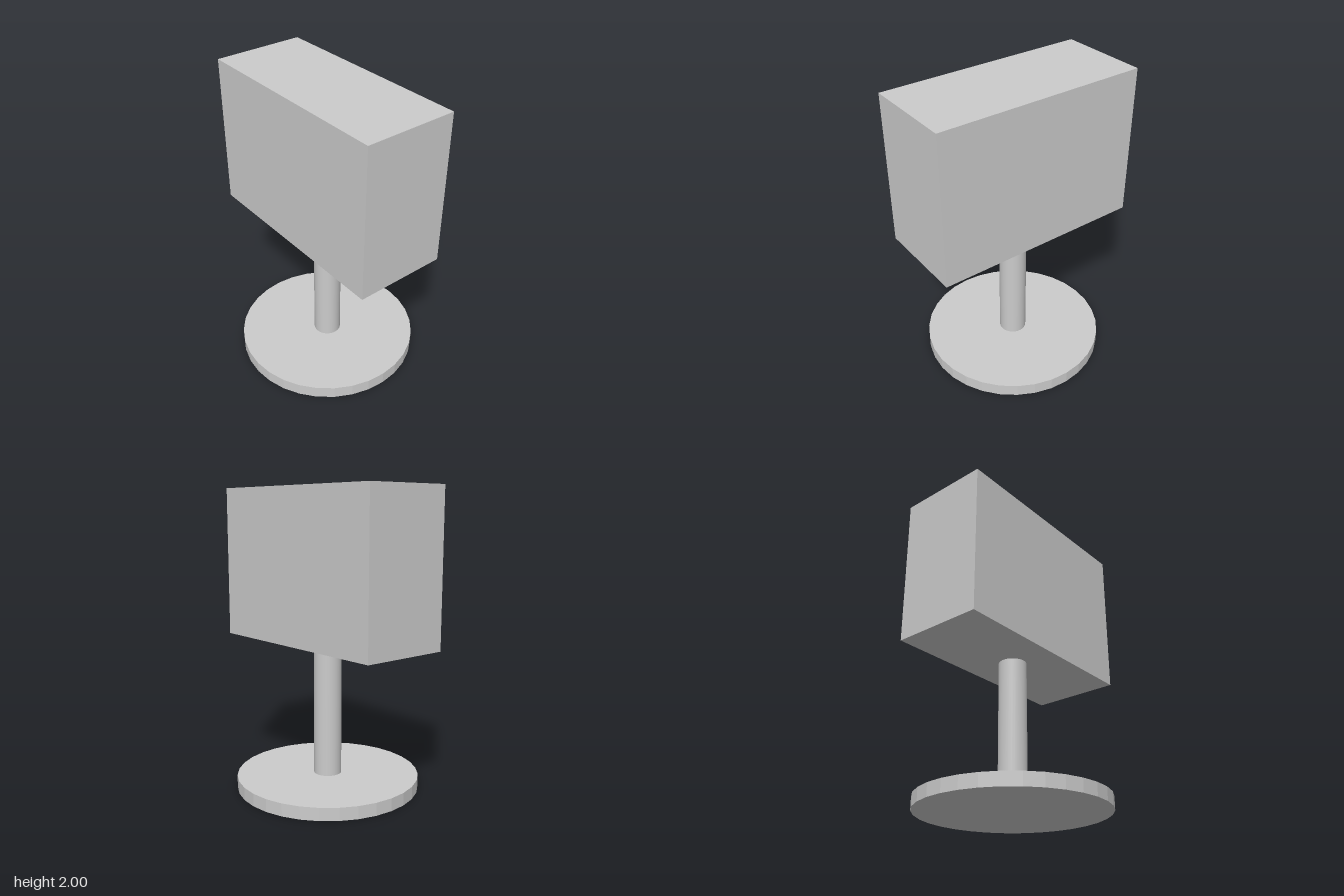
import * as THREE from 'three';

export function createModel() {
  const group = new THREE.Group();
  const smooth = new THREE.MeshStandardMaterial({ color: 0xcccccc });
  const faceted = new THREE.MeshStandardMaterial({ color: 0xcccccc, flatShading: true });

  // Places a part so that its underside sits at the given height
  function addPart(name, geometry, material, bottom) {
    geometry.computeBoundingBox();
    const mesh = new THREE.Mesh(geometry, material);
    mesh.name = name;
    mesh.position.y = bottom - geometry.boundingBox.min.y;
    group.add(mesh);
  }

  // Faceted round foot
  addPart('base', new THREE.CylinderGeometry(0.615, 0.615, 0.085, 32), faceted, 0);
  // Smooth post between the foot and the block
  addPart('post', new THREE.CylinderGeometry(0.093, 0.093, 0.905, 32), smooth, 0.085);
  // Rectangular block on top
  addPart('head', new THREE.BoxGeometry(0.615, 1.01, 1.425), faceted, 0.99);

  return group;
}
